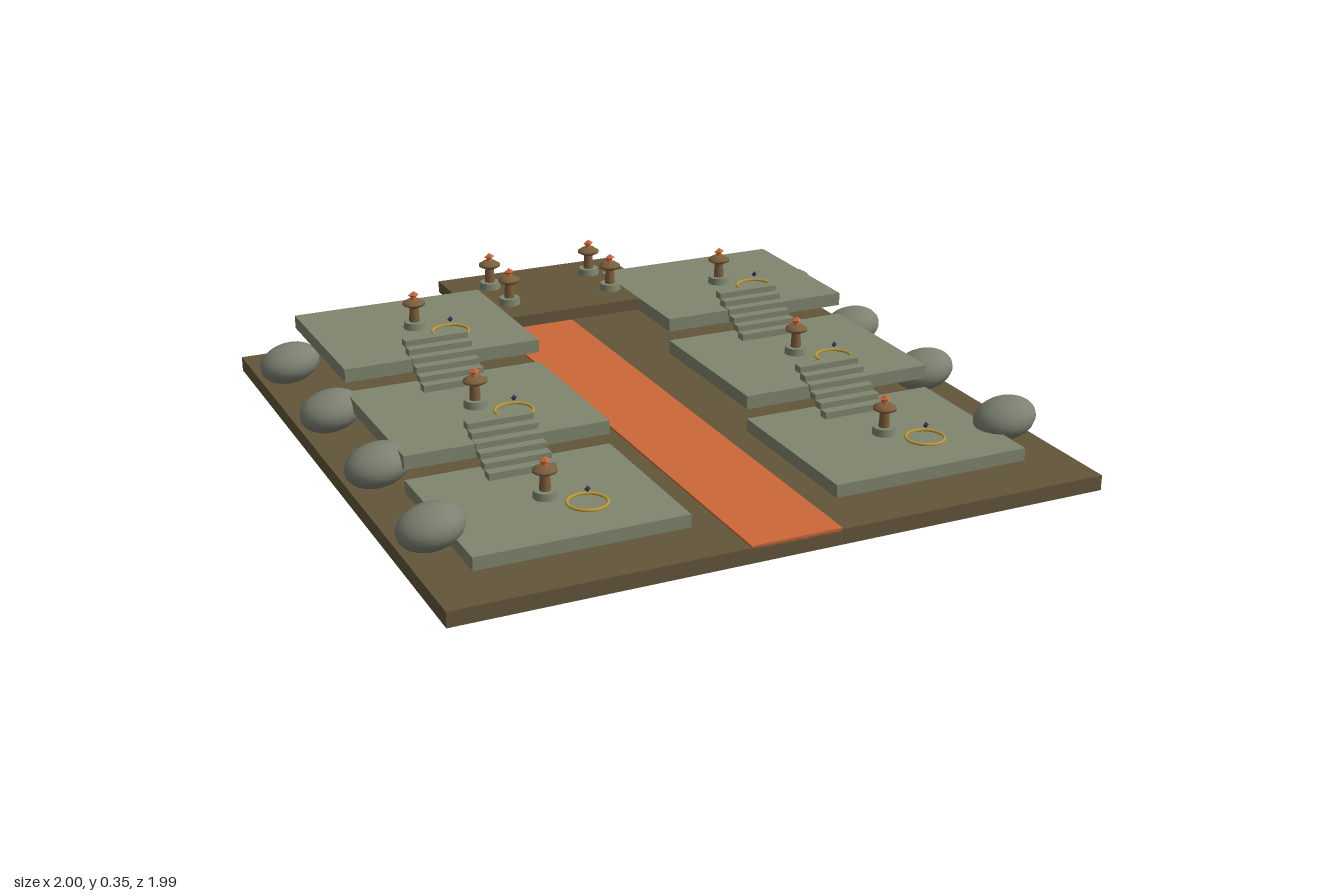
import * as THREE from 'three';

const mat = (color) => new THREE.MeshStandardMaterial({ color });
const stone = mat(0x80866f), rockStone = mat(0x7d8272), earth = mat(0x62563a), path = mat(0xcc6838);
const bronze = mat(0x7d5f3c), copper = mat(0xc8683a), gold = mat(0xc09a3a), gem = mat(0x34345c);

function add(parent, name, geometry, material, x = 0, y = 0, z = 0) {
  const mesh = new THREE.Mesh(geometry, material);
  mesh.name = name;
  mesh.position.set(x, y, z);
  parent.add(mesh);
  return mesh;
}

// Box given by its width, depth and its bottom and top heights
function slab(parent, name, material, w, d, y0, y1, x, z) {
  return add(parent, name, new THREE.BoxGeometry(w, y1 - y0, d), material, x, (y0 + y1) / 2, z);
}

const footGeo = new THREE.CylinderGeometry(0.033, 0.036, 0.022, 12);
const postGeo = new THREE.CylinderGeometry(0.014, 0.017, 0.05, 10);
const bowlGeo = new THREE.LatheGeometry(
  [[0, 0], [0.017, 0], [0.035, 0.009], [0.035, 0.016], [0.018, 0.027], [0, 0.027]].map(([r, y]) => new THREE.Vector2(r, y)), 14);
const neckGeo = new THREE.CylinderGeometry(0.008, 0.01, 0.014, 8);
const flameGeo = new THREE.OctahedronGeometry(0.018).scale(1, 0.7, 1);

// Small lamp standing on a surface at height y
function lamp(parent, x, y, z) {
  const g = new THREE.Group();
  g.name = 'lamp';
  add(g, 'lampFoot', footGeo, stone, 0, 0.011, 0);
  add(g, 'lampPost', postGeo, bronze, 0, 0.045, 0);
  add(g, 'lampBowl', bowlGeo, bronze, 0, 0.068, 0);
  add(g, 'lampNeck', neckGeo, copper, 0, 0.1, 0);
  add(g, 'lampFlame', flameGeo, copper, 0, 0.109, 0);
  g.position.set(x, y, z);
  parent.add(g);
}

export function createModel() {
  const model = new THREE.Group();
  model.name = 'terracedCourt';

  // Ground and central path
  slab(model, 'ground', earth, 1.986, 1.986, 0, 0.046, 0, 0);
  slab(model, 'centralPath', path, 0.275, 1.986, 0.04, 0.052, 0, 0);

  const ringGeo = new THREE.TorusGeometry(0.057, 0.005, 6, 32).rotateX(Math.PI / 2);
  const gemGeo = new THREE.OctahedronGeometry(0.01);
  const rockGeo = new THREE.SphereGeometry(1, 20, 14).scale(0.097, 0.061, 0.085);

  for (const side of [-1, 1]) {
    // Three rising terraces, each with a lamp, a ring and a floating gem
    for (let i = 0; i < 3; i++) {
      const top = 0.085 + i * 0.072, z = 0.54 - i * 0.54, x = side * 0.54;
      slab(model, 'terrace', stone, 0.628, 0.54, top - 0.042, top, x, z);
      lamp(model, x, top, z);
      add(model, 'ring', ringGeo, gold, x + 0.09, top + 0.003, z + 0.085);
      add(model, 'gem', gemGeo, gem, x + 0.09, top + 0.042, z + 0.085);

      // Flight of thin steps up to the next terrace
      for (let s = 0; i < 2 && s < 6; s++) {
        const y = top + s * 0.018;
        slab(model, 'step', stone, 0.204, 0.033, y, y + 0.021, x, z - 0.181 - s * 0.0325);
      }
    }
    // Boulders along the outer edge
    for (let i = 0; i < 4; i++) {
      add(model, 'boulder', rockGeo, rockStone, side * 0.903, 0.106, 0.63 - i * 0.45).rotation.z = 0.2;
    }
  }

  // Bridge between the upper terraces, with four lamps
  slab(model, 'bridge', earth, 0.628, 0.45, 0.19, 0.2275, 0, -0.727);
  for (const x of [-0.18, 0.18]) for (const z of [-0.635, -0.815]) lamp(model, x, 0.228, z);

  return model;
}
